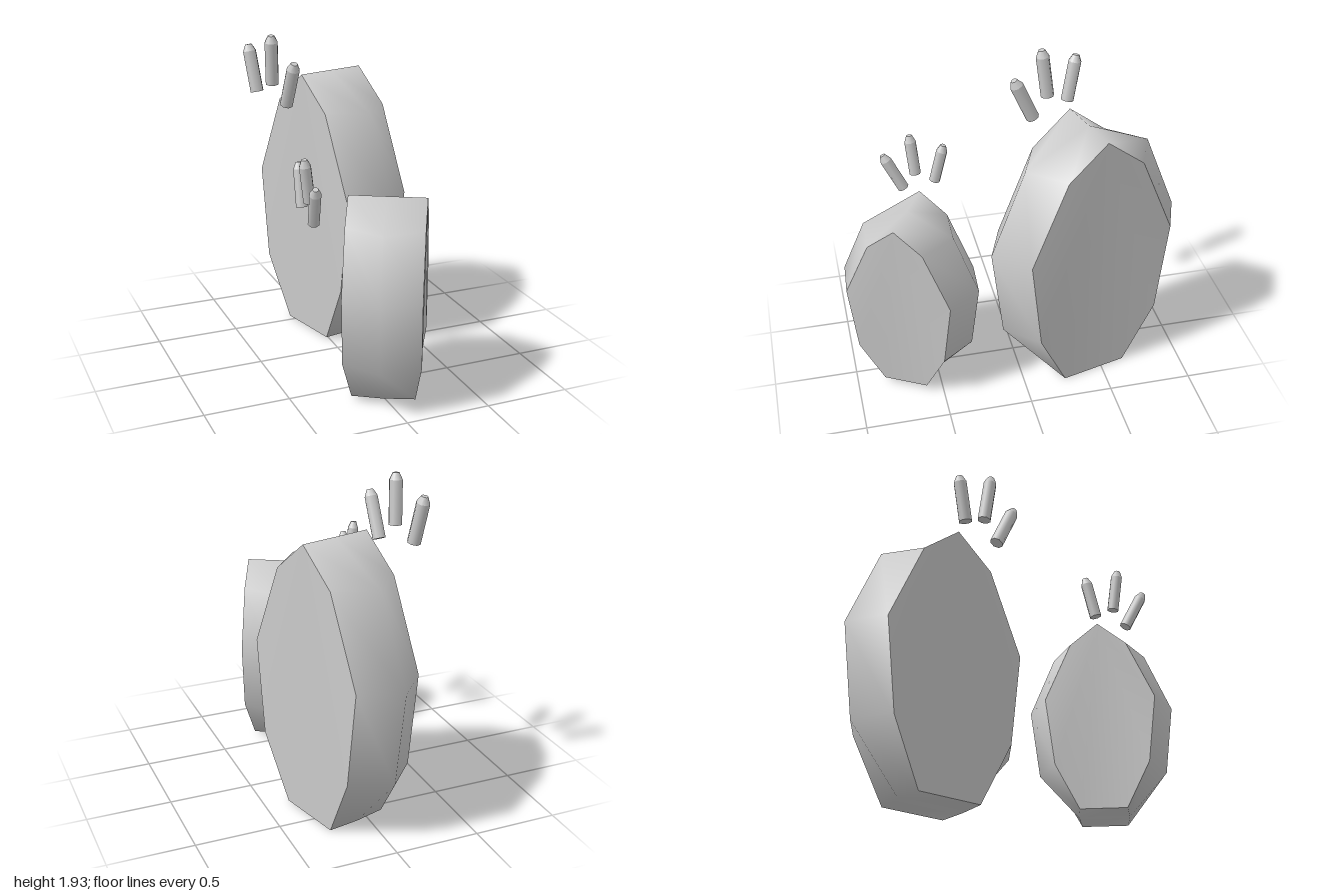
import * as THREE from 'three';
import { mergeGeometries } from 'three/addons/utils/BufferGeometryUtils.js';

// Nine-sided outline, counter-clockwise: the apex, four points down one side, four up the other.
// rows: [half width, height, half thickness] from shoulder to foot
function outline(apex, rows, side) {
  const left = rows.map(([w, y, d]) => [-w, y, d * side]);
  const right = rows.map(([w, y, d]) => [w, y, d * side]).reverse();
  return [[0, apex[0], apex[1] * side], ...left, ...right];
}

function makeGeometry(points, index) {
  const g = new THREE.BufferGeometry();
  g.setAttribute('position', new THREE.Float32BufferAttribute(points.flat(), 3));
  g.setIndex(index);
  g.computeVertexNormals();
  return g;
}

// Thick pad: flat outline faces either side of a wider middle ring, with a smooth rim
function padGeometry({ heights, faceWidths, midWidths, thick, foot }) {
  const rows = (widths) => widths.map((w, i) => [w, heights[i + 1], i === 3 ? foot : thick]);
  const apex = [heights[0], thick];
  const back = outline(apex, rows(faceWidths), -1);
  const middle = outline(apex, rows(midWidths), 0);
  const front = outline(apex, rows(faceWidths), 1);
  const n = front.length;
  const rim = [], cap = [], backCap = [];
  for (let r = 0; r < 2; r++) {
    for (let i = 0; i < n; i++) {
      const j = (i + 1) % n;
      const a = r * n + i, b = r * n + j, c = b + n, d = a + n;
      rim.push(a, b, c, a, c, d);
    }
  }
  for (let i = 1; i < n - 1; i++) {
    cap.push(0, i, i + 1);
    backCap.push(0, i + 1, i);
  }
  return mergeGeometries([
    makeGeometry([...back, ...middle, ...front], rim),
    makeGeometry(front, cap),
    makeGeometry(back, backCap),
  ]);
}

// Spine: straight shaft with a short bevelled tip
function spine(name, base, tip, radius, material) {
  const a = new THREE.Vector3(...base), b = new THREE.Vector3(...tip);
  const length = a.distanceTo(b), bevel = 0.04;
  const shaft = new THREE.CylinderGeometry(radius, radius, length - bevel, 8);
  shaft.translate(0, (length - bevel) / 2, 0);
  const point = new THREE.CylinderGeometry(radius * 0.5, radius, bevel, 8);
  point.translate(0, length - bevel / 2, 0);
  const mesh = new THREE.Mesh(mergeGeometries([shaft, point]), material);
  mesh.name = name;
  mesh.position.copy(a);
  mesh.quaternion.setFromUnitVectors(new THREE.Vector3(0, 1, 0), b.sub(a).normalize());
  return mesh;
}

export function createModel() {
  const model = new THREE.Group();
  model.name = 'cactusPads';
  const material = new THREE.MeshStandardMaterial({ color: 0xcccccc });

  // Pads
  const pads = [
    {
      name: 'largePad', position: [0.12, 0, -0.405], turn: 1.818,
      heights: [1.67, 1.475, 0.97, 0.4, 0.015],
      faceWidths: [0.24, 0.462, 0.395, 0.205], midWidths: [0.4, 0.613, 0.54, 0.215],
      thick: 0.215, foot: 0.185,
    },
    {
      name: 'smallPad', position: [0.035, 0, 0.63], turn: 1.065,
      heights: [1.195, 1.06, 0.71, 0.31, 0.05],
      faceWidths: [0.165, 0.32, 0.27, 0.135], midWidths: [0.276, 0.423, 0.372, 0.147],
      thick: 0.217, foot: 0.18,
    },
  ];
  for (const p of pads) {
    const pad = new THREE.Mesh(padGeometry(p), material);
    pad.name = p.name;
    pad.position.set(...p.position);
    pad.rotation.y = p.turn;
    model.add(pad);
  }

  // Clusters of three spines: base point, tip point
  const clusters = [
    {
      name: 'largeSpines', radius: 0.04,
      ends: [
        [[-0.3, 1.65, -0.275], [-0.315, 1.94, -0.24]],
        [[-0.35, 1.58, -0.41], [-0.38, 1.855, -0.465]],
        [[-0.25, 1.545, -0.175], [-0.24, 1.805, -0.06]],
      ],
    },
    {
      name: 'smallSpines', radius: 0.034,
      ends: [
        [[-0.375, 1.18, 0.515], [-0.41, 1.425, 0.535]],
        [[-0.375, 1.115, 0.4], [-0.37, 1.355, 0.34]],
        [[-0.38, 1.085, 0.59], [-0.41, 1.31, 0.7]],
      ],
    },
  ];
  for (const { name, radius, ends } of clusters) {
    const group = new THREE.Group();
    group.name = name;
    ends.forEach(([base, tip], i) => group.add(spine(`spine${i + 1}`, base, tip, radius, material)));
    model.add(group);
  }
  return model;
}
